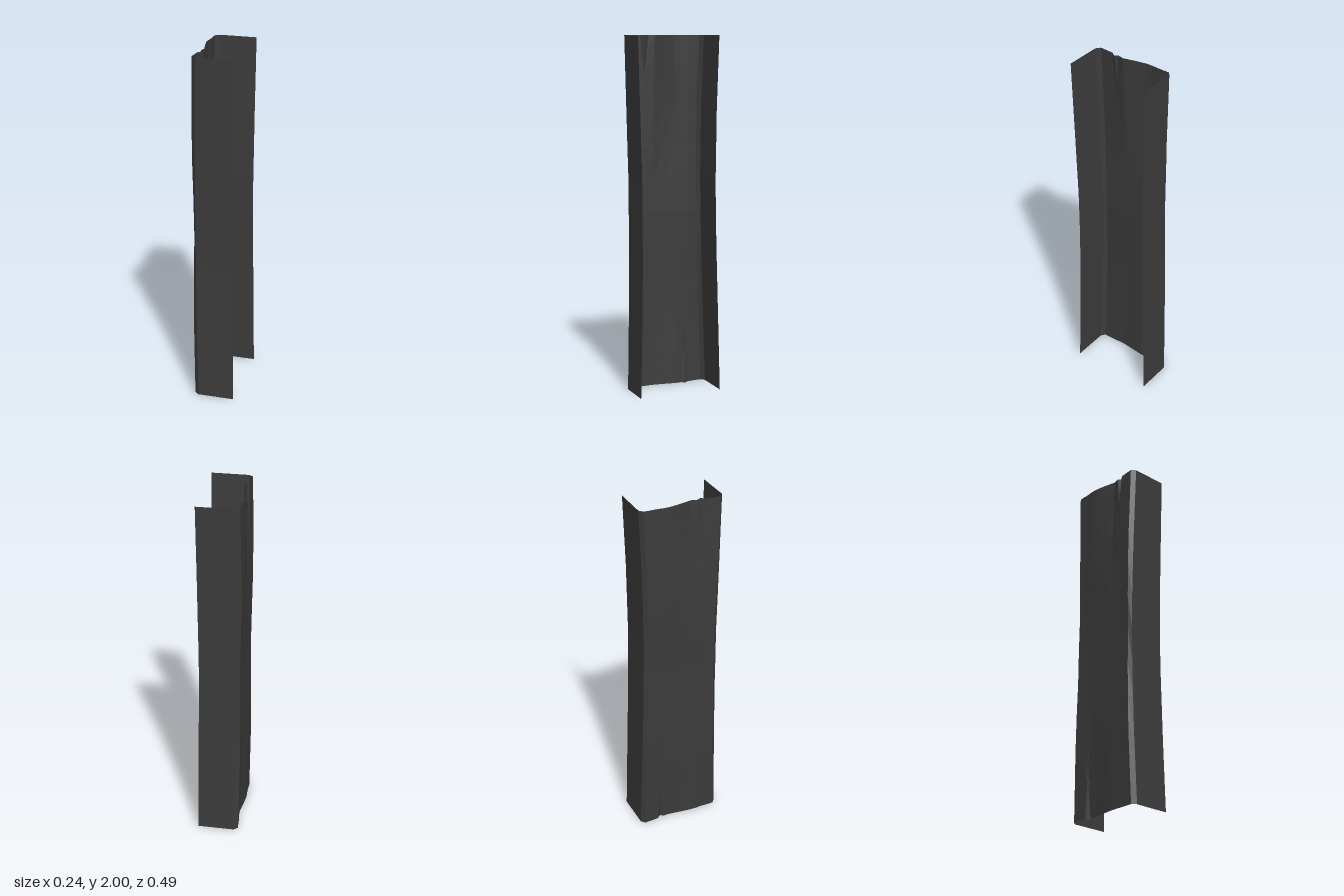
import * as THREE from 'three';

const material = new THREE.MeshStandardMaterial({
  color: 0x3c3c3c, flatShading: true, side: THREE.DoubleSide,
});

// piecewise-linear curve through [position, value] pairs
function curve(points, t) {
  for (let i = 1; i < points.length; i++) {
    const [a, va] = points[i - 1], [b, vb] = points[i];
    if (t <= b) return va + (vb - va) * Math.max(0, (t - a) / (b - a));
  }
  return points[points.length - 1][1];
}

// outline of the bent channel as functions of height
const frontZ = [[0, 0.235], [0.4, 0.225], [0.8, 0.219], [1.2, 0.221], [1.6, 0.233], [2, 0.246]];
const backZ = [[0, 0.246], [0.4, 0.235], [0.8, 0.224], [1.2, 0.216], [1.6, 0.219], [2, 0.231]];
const tipX = [[0, 0.12], [0.5, 0.116], [1, 0.111], [1.5, 0.116], [2, 0.12]];
const bendX = [[0, -0.086], [0.5, -0.097], [1, -0.1], [1.5, -0.097], [2, -0.086]];
const webX = [[0, -0.11], [0.5, -0.119], [1, -0.112], [1.5, -0.119], [2, -0.11]];

// buckles along the web at its two ends: offset from the flat web against z
const topWave = [[-0.2, 0], [-0.08, -0.012], [0, 0.002], [0.065, 0.018], [0.1, 0.009], [0.16, 0], [0.2, 0]];
const bottomWave = [[-0.2, 0], [-0.16, 0], [-0.1, 0.009], [-0.065, 0.01], [0, 0.002], [0.08, -0.007], [0.2, 0]];

const heights = [0, 0.1, 0.2, 0.4, 0.6, 0.8, 1, 1.2, 1.4, 1.6, 1.81, 1.9, 2];
const webZ = [-0.145, -0.12, -0.1, -0.065, 0, 0.065, 0.1, 0.12, 0.145];

// sharp triangular dent that narrows away from the end of the web
function dent(z, centre, depth) {
  return Math.abs(z - centre) < 0.005 ? 0.016 * Math.max(0, depth) : 0;
}

function webPoint(z, y) {
  const top = Math.max(0, (y - 1.2) / 0.8), bottom = Math.max(0, (0.8 - y) / 0.8);
  const topDent = Math.max(0, (y - 1.81) / 0.19), bottomDent = Math.max(0, (0.2 - y) / 0.2);
  // the dent borders close up towards its point
  const centre = z > 0 ? 0.12 : -0.12;
  const open = z > 0 ? topDent : bottomDent;
  const near = Math.abs(z - centre) < 0.03 && (z > 0 ? y >= 1.81 : y <= 0.2);
  const zz = near ? centre + (z - centre) * (0.2 + 0.8 * open) : z;
  const x = curve(webX, y) + 0.004
    + curve(topWave, z) * top + curve(bottomWave, z) * bottom
    + dent(z, 0.12, topDent) + dent(z, -0.12, bottomDent);
  return [x, y, zz];
}

// sheet skinned over rows of points, one row per height
function sheet(name, section) {
  const rows = heights.map(section), n = rows[0].length, index = [];
  for (let r = 0; r < rows.length - 1; r++) {
    for (let c = 0; c < n - 1; c++) {
      const a = r * n + c, b = a + 1, d = a + n, e = d + 1;
      index.push(a, b, d, b, e, d);
    }
  }
  const geometry = new THREE.BufferGeometry();
  geometry.setAttribute('position', new THREE.Float32BufferAttribute(rows.flat(2), 3));
  geometry.setIndex(index);
  geometry.computeVertexNormals();
  const mesh = new THREE.Mesh(geometry, material);
  mesh.name = name;
  return mesh;
}

export function createModel() {
  const group = new THREE.Group();
  group.name = 'bentChannel';

  const edge = (profile, side, y) => side * curve(profile, y);
  const corner = (profile, side, y) => [curve(webX, y), y, edge(profile, side, y) - side * 0.019];

  // web with buckled ends
  group.add(sheet('web', y => [
    corner(backZ, -1, y),
    ...webZ.map(z => webPoint(z, y)),
    corner(frontZ, 1, y),
  ]));

  // bevelled corners and flanges
  for (const [label, profile, side] of [['front', frontZ, 1], ['back', backZ, -1]]) {
    const bend = y => [curve(bendX, y), y, edge(profile, side, y)];
    const tip = y => [curve(tipX, y), y, edge(profile, side, y)];
    const order = row => (side > 0 ? row : row.reverse());
    group.add(sheet(label + 'Corner', y => order([corner(profile, side, y), bend(y)])));
    group.add(sheet(label + 'Flange', y => order([bend(y), tip(y)])));
  }
  return group;
}
